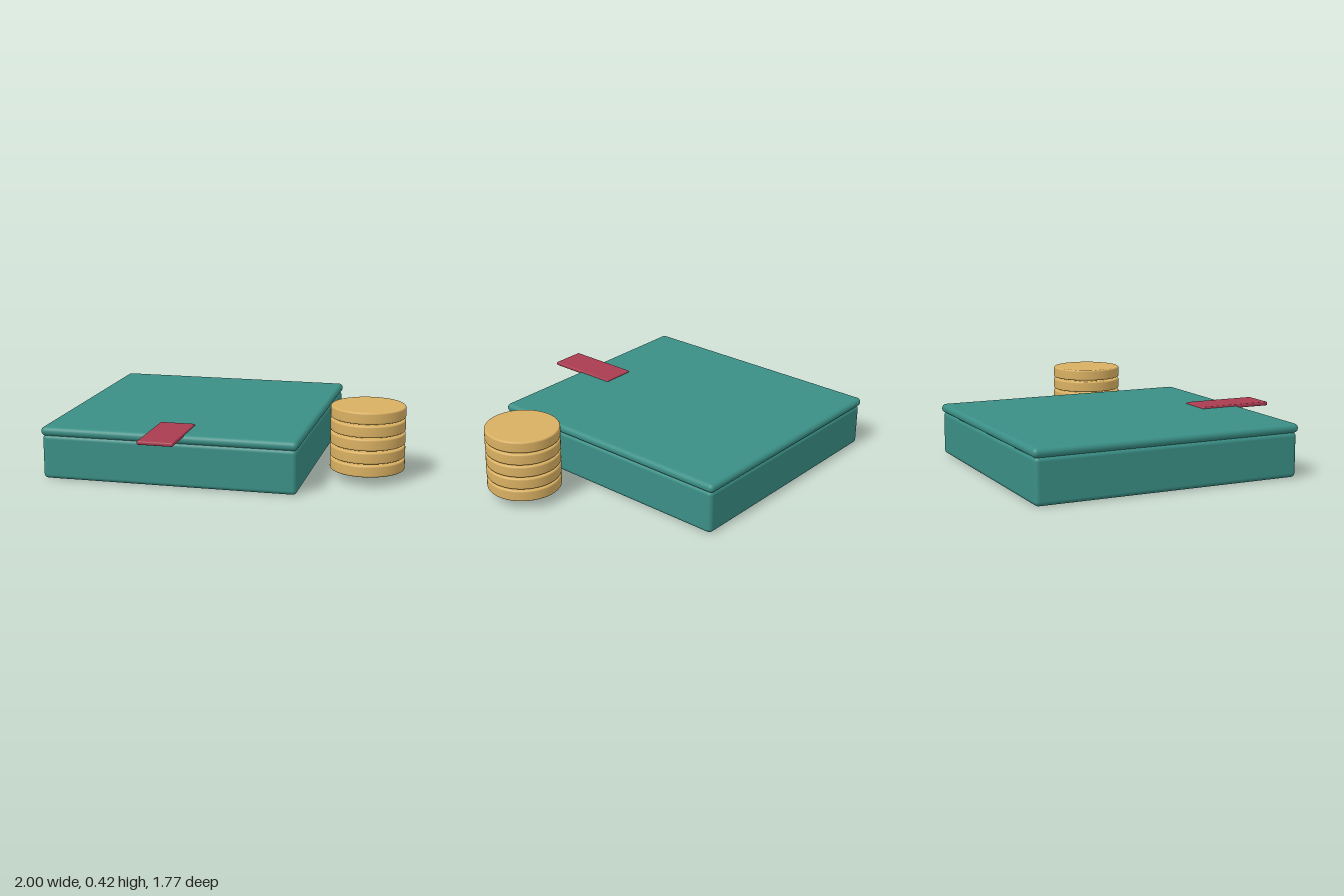
import * as THREE from 'three';
import { RoundedBoxGeometry } from 'three/addons/geometries/RoundedBoxGeometry.js';

const material = (name, color) => {
  const m = new THREE.MeshStandardMaterial({ color });
  m.name = name;
  return m;
};

export function createModel() {
  const teal = material('teal', 0x3a8f86);
  const gold = material('gold', 0xd9b062);
  const red = material('crimson', 0xa93c50);
  const group = new THREE.Group();
  group.name = 'boxWithCoins';

  const add = (name, geometry, mat, x, y, z) => {
    const mesh = new THREE.Mesh(geometry, mat);
    mesh.name = name;
    mesh.position.set(x, y, z);
    group.add(mesh);
    return mesh;
  };

  // Shallow box with a slightly overhanging lid
  add('boxBody', new RoundedBoxGeometry(1.46, 0.255, 1.55, 4, 0.025), teal, -0.264, 0.1275, -0.1);
  add('boxLid', new RoundedBoxGeometry(1.472, 0.052, 1.57, 4, 0.0255), teal, -0.264, 0.275, -0.1);

  // Ribbon tab lying over the front edge of the lid
  add('ribbonTab', new RoundedBoxGeometry(0.204, 0.022, 0.445, 3, 0.008), red, -0.265, 0.3, 0.6625);

  // Stack of coins with softly rounded rims
  const r = 0.212, h = 0.0335, b = 0.01;
  const profile = [new THREE.Vector2(0, -h), new THREE.Vector2(r - b - 0.002, -h)];
  for (const [cy, start] of [[-h + b, -Math.PI / 2], [h - b, 0]]) {
    for (let i = 0; i <= 4; i++) {
      const a = start + (i / 4) * (Math.PI / 2);
      profile.push(new THREE.Vector2(r - b + b * Math.cos(a), cy + b * Math.sin(a)));
    }
  }
  profile.push(new THREE.Vector2(r - b - 0.002, h), new THREE.Vector2(0, h));
  const coin = new THREE.LatheGeometry(profile, 64);
  for (let i = 0; i < 5; i++) {
    add(`coin${i + 1}`, coin, gold, 0.786, 0.0885 + i * 0.075, 0.215);
  }

  return group;
}
